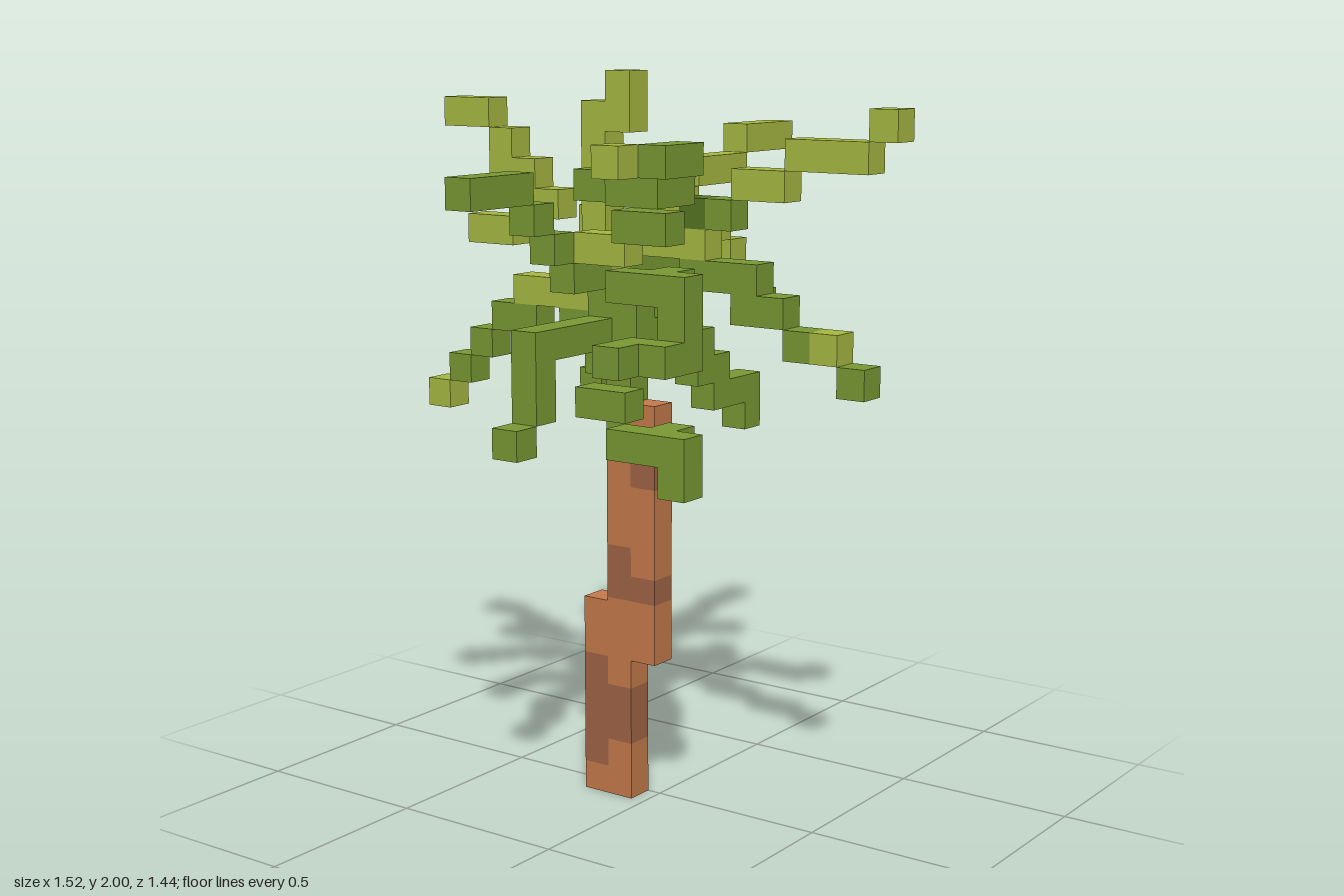
import * as THREE from 'three';

const U = 0.08; // edge of one block
const mat = (name, color) => {
  const m = new THREE.MeshStandardMaterial({ color });
  m.name = name;
  return m;
};

export function createModel() {
  const root = new THREE.Group();
  root.name = 'palmTree';
  const light = mat('limeLeaf', 0xa8ba42);
  const green = mat('greenLeaf', 0x7a9a34);
  const dark = mat('deepLeaf', 0x567522);
  const bark = mat('bark', 0xc67b4c);
  const barkDark = mat('darkBark', 0xa06445);

  function box(parent, name, material, x, y, z, w, h, d) {
    const mesh = new THREE.Mesh(new THREE.BoxGeometry(w, h, d), material);
    mesh.name = name;
    mesh.position.set(x + w / 2, y + h / 2, z + d / 2);
    parent.add(mesh);
  }

  // A frond is a chain of block runs: [material, column, level, depth, columns, levels, depths]
  function frond(name, runs) {
    const g = new THREE.Group();
    g.name = name;
    for (const [m, i, j, k, ni = 1, nj = 1, nk = 1] of runs)
      box(g, 'leafBlock', m, -0.76 + i * U, j * U, k * U, ni * U, nj * U, nk * U);
    root.add(g);
  }

  // Trunk: three columns, each cut into alternating light and dark bands
  const trunk = new THREE.Group();
  trunk.name = 'trunk';
  const columns = [
    [-0.20, [0, 0.08, 0.40, 0.56]],
    [-0.12, [0, 0.16, 0.32, 0.57, 0.72, 0.96, 1.04]],
    [-0.04, [0.40, 0.57, 0.64, 0.89, 1.04, 1.12]],
  ];
  for (const [x, cuts] of columns)
    for (let n = 0; n < cuts.length - 1; n++)
      box(trunk, 'barkBand', n % 2 ? barkDark : bark, x, cuts[n], 0, U, cuts[n + 1] - cuts[n], U);
  root.add(trunk);

  // Heart of the crown and the upright shoot
  frond('crownCore', [
    [green, 8, 13, 0, 1, 6], [green, 6, 16, 0, 2], [green, 9, 16, 0],
    [green, 8, 16, 1, 1, 2], [light, 8, 18, 1], [green, 9, 16, 1, 1, 2],
    [green, 7, 17, -2, 1, 2, 2], [green, 8, 17, -2, 1, 2, 2], [green, 8, 16, -2],
  ]);
  frond('uprightShoot', [
    [light, 7, 17, 0, 1, 7], [light, 8, 23, 0, 1, 2],
  ]);

  // Fronds toward +x
  frond('upperLeftFrond', [
    [light, 9, 19, 0, 3], [dark, 11, 20, 0], [green, 12, 20, 0],
    [light, 13, 21, 0, 2], [light, 15, 22, 0, 3], [light, 18, 23, 0],
  ]);
  frond('lowerLeftFrond', [
    [green, 9, 17, 0, 2], [green, 11, 18, 0, 3], [green, 13, 17, 0, 2],
    [green, 15, 16, 0], [light, 16, 16, 0], [green, 17, 15, 0],
  ]);

  // Fronds toward -x
  frond('upperRightFrond', [
    [light, 5, 20, 0], [light, 4, 20, 0, 1, 2], [light, 3, 21, 0, 1, 2], [light, 1, 23, 0, 2],
  ]);
  frond('middleRightFrond', [
    [dark, 6, 18, 0], [light, 2, 19, 0, 2],
  ]);
  frond('lowerRightFrond', [
    [light, 4, 17, 0, 3], [green, 3, 16, 0, 2], [green, 2, 15, 0],
    [green, 1, 14, 0], [light, 0, 13, 0],
  ]);

  // Fronds toward +z
  frond('upperFrontFrond', [
    [green, 8, 18, 2, 1, 1, 2], [green, 8, 19, 4], [green, 8, 20, 5], [green, 8, 21, 6, 1, 1, 3],
  ]);
  frond('lowerFrontFrond', [
    [green, 8, 16, 2, 1, 1, 3], [green, 8, 14, 5, 1, 3], [green, 8, 13, 6],
  ]);

  // Fronds toward -z
  frond('upperBackFrond', [
    [green, 8, 19, -2], [light, 8, 20, -3], [light, 8, 21, -6, 1, 1, 3], [light, 8, 22, -9, 1, 1, 3],
  ]);
  frond('middleBackFrond', [
    [light, 8, 19, -5, 1, 1, 2], [light, 8, 18, -6], [green, 8, 17, -7], [green, 8, 16, -8],
  ]);
  frond('lowerBackFrond', [
    [green, 8, 15, -4, 1, 1, 2], [green, 8, 14, -5, 1, 1, 2],
    [green, 8, 13, -6, 1, 1, 2], [green, 8, 12, -7, 1, 2],
  ]);

  // Diagonal fronds at the front left corner
  frond('topFrontLeftFrond', [
    [green, 9, 21, 3, 2], [green, 11, 21, 4, 2], [green, 12, 21, 3],
    [green, 13, 22, 4, 1, 1, 2], [green, 12, 20, 5, 2], [light, 12, 22, 6],
  ]);
  for (const [name, j, m] of [['middle', 19, light], ['low', 14, green]])
    frond(name + 'FrontLeftFrond', [
      [m, 9, j, 3, 2], [green, 11, j - 1, 4, 3], [green, 12, j - 1, 3], [green, 13, j - 2, 4],
    ]);
  frond('hangingFrontLeftFrond', [
    [green, 13, 16, 4, 1, 1, 2], [green, 12, 16, 5, 1, 1, 2],
  ]);

  // Diagonal fronds at the back right corner
  frond('topBackRightFrond', [
    [green, 6, 19, -4], [light, 7, 19, -4], [light, 4, 20, -5, 2], [light, 4, 20, -4],
    [light, 3, 21, -6, 2], [light, 4, 21, -7], [light, 3, 19, -5],
  ]);
  frond('lowBackRightFrond', [
    [green, 6, 16, -4, 2], [green, 5, 14, -5, 1, 2], [green, 4, 15, -5],
    [green, 4, 14, -4], [green, 3, 13, -5],
  ]);

  return root;
}
